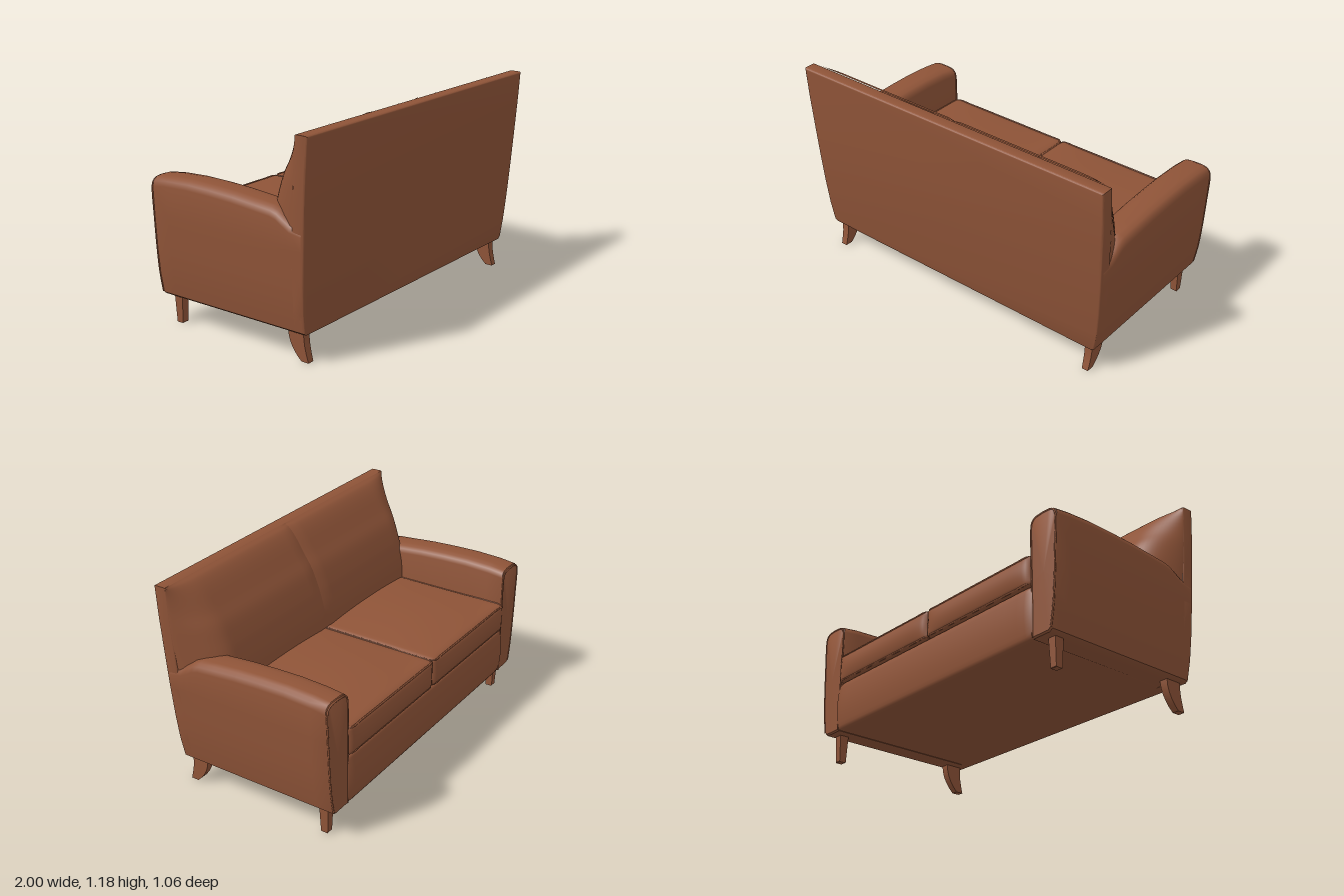
import * as THREE from 'three';
import { mergeVertices, toCreasedNormals } from 'three/addons/utils/BufferGeometryUtils.js';

const BASE = 0.155, TOP = 1.18, LEAN = 0.065;
const leather = new THREE.MeshStandardMaterial({ color: 0x8f5438 });
leather.name = 'brown leather';

// Outer side of the sofa as [x, y], shared by the arms and the back panel
const SIDE = [[0.925, BASE], [0.942, 0.168], [0.962, 0.28], [0.975, 0.42], [0.985, 0.6]];
const SIDE_TOP = [[0.992, 0.8], [0.998, 1.0], [0.998, TOP]];

function part(name, geometry) {
  const mesh = new THREE.Mesh(geometry, leather);
  mesh.name = name;
  return mesh;
}

function surface(positions, index) {
  const g = new THREE.BufferGeometry();
  g.setAttribute('position', new THREE.Float32BufferAttribute(positions, 3));
  g.setIndex(index);
  return g;
}

// Moves every vertex by a rule that edits the vector in place
function warp(geometry, rule) {
  const p = geometry.attributes.position, v = new THREE.Vector3();
  for (let i = 0; i < p.count; i++) {
    rule(v.fromBufferAttribute(p, i));
    p.setXYZ(i, v.x, v.y, v.z);
  }
  return geometry;
}

// Mirror across x = 0, with the winding turned round again
function mirrored(geometry) {
  const g = geometry.index ? geometry.toNonIndexed() : geometry.clone();
  g.scale(-1, 1, 1);
  for (const a of Object.values(g.attributes)) {
    const n = a.itemSize;
    for (let i = 0; i < a.count; i += 3) {
      for (let k = 0; k < n; k++) {
        const t = a.array[(i + 1) * n + k];
        a.array[(i + 1) * n + k] = a.array[(i + 2) * n + k];
        a.array[(i + 2) * n + k] = t;
      }
    }
  }
  return g;
}

// Rounded box with enough vertices to be bulged by a rule (u, v, t run -1..1)
function softBox(w, h, d, r, bulge) {
  let g = new THREE.BoxGeometry(w, h, d, 32, 14, 32);
  g.deleteAttribute('normal');
  g.deleteAttribute('uv');
  g = mergeVertices(g);
  const inner = new THREE.Vector3(w / 2 - r, h / 2 - r, d / 2 - r), core = new THREE.Vector3();
  warp(g, (p) => {
    const u = 2 * p.x / w, v = 2 * p.y / h, t = 2 * p.z / d;
    core.copy(p).clamp(inner.clone().negate(), inner);
    p.sub(core);
    if (p.length() > 0) p.setLength(r);
    p.add(core);
    bulge(p, u, v, t);
  });
  g.computeVertexNormals();
  return g;
}

function piping(points) {
  const path = new THREE.CatmullRomCurve3(points, false, 'centripetal');
  return new THREE.TubeGeometry(path, 120, 0.005, 6, false);
}

// Cross-section of the left arm at a given top height, shrunk by an inset
function armRing(height, inset) {
  const ring = [[0.81, BASE], ...SIDE, [0.991, height - 0.05], [0.984, height - 0.022], [0.968, height - 0.007],
    [0.94, height], [0.87, height], [0.835, height - 0.006], [0.818, height - 0.02], [0.81, height - 0.045], [0.81, 0.45]];
  const k = 1 - inset / 0.1, ky = 1 - inset / 0.34;
  return ring.map(([x, y]) => [0.9 + (x - 0.9) * k, 0.48 + (y - 0.48) * ky]);
}

function armGeometry() {
  const stations = [[-0.503, 0.812, 0.008], [-0.494, 0.815, 0], [-0.4, 0.826, 0], [-0.25, 0.832, 0], [-0.1, 0.829, 0],
    [0.05, 0.822, 0], [0.2, 0.809, 0], [0.29, 0.801, 0], [0.33, 0.79, 0], [0.37, 0.765, 0], [0.41, 0.742, 0], [0.45, 0.73, 0]];
  const pos = [], index = [];
  stations.forEach(([z, h, inset], k) => {
    const last = k === stations.length - 1;
    for (const [x, y] of armRing(h, inset)) pos.push(x, y, z + (last ? LEAN * (y - BASE) : 0));
  });
  const n = armRing(0.8, 0).length;
  for (let k = 0; k < stations.length - 1; k++) {
    for (let i = 0; i < n; i++) {
      const a = k * n + i, b = k * n + (i + 1) % n;
      index.push(a, b, a + n, b, b + n, a + n);
    }
  }
  // slightly padded end panel
  const centre = pos.length / 3;
  pos.push(0.9, 0.48, -0.506);
  for (let i = 0; i < n; i++) index.push(centre, (i + 1) % n, i);
  return toCreasedNormals(surface(pos, index), 0.7);
}

// Leaning back panel, extruded from the body outline
function backPanelGeometry() {
  const right = [...SIDE, ...SIDE_TOP];
  const left = right.map(([x, y]) => [-x, y]).reverse();
  const shape = new THREE.Shape([...right, ...left].map(([x, y]) => new THREE.Vector2(x, y)));
  const b = 0.012;
  const g = new THREE.ExtrudeGeometry(shape, {
    depth: 0.078 - 2 * b, bevelThickness: b, bevelSize: b, bevelOffset: -b, bevelSegments: 4,
  });
  g.translate(0, 0, 0.389 + b);
  warp(g, (p) => { p.z += LEAN * (p.y - BASE); });
  return toCreasedNormals(g, 0.6);
}

// Left back cushion: a padded sheet that wraps round to the back panel
function backCushionGeometry() {
  const profile = new THREE.CatmullRomCurve3([[0.5, 0.18], [0.7, 0.186], [0.8, 0.21], [0.87, 0.235], [0.95, 0.27],
    [1.02, 0.316], [1.12, 0.382], [1.165, 0.425], [1.18, 0.458]].map(([y, z]) => new THREE.Vector3(0, y, z)));
  const rows = 32, cols = 36, pos = [], index = [];
  for (let j = 0; j <= rows; j++) {
    const { y, z: front } = profile.getPoint(j / rows);
    const back = 0.394 + LEAN * (y - BASE);
    const edge = 0.98 + 0.016 * THREE.MathUtils.smoothstep(y, 0.6, 1);
    for (let i = 0; i <= cols; i++) {
      const x = edge * Math.sin(i / cols * Math.PI / 2);
      const t = Math.max(0, (x - 0.79) / (edge - 0.79));
      const wrap = Math.pow(Math.max(0, 1 - t * t), 0.82);
      const seam = 0.012 * Math.pow(Math.max(0, 1 - x / 0.025), 2);
      const z = back + (front - back) * wrap;
      pos.push(x, y, Math.min(z + seam, Math.max(back, z)));
      if (i < cols && j < rows) {
        const a = j * (cols + 1) + i, c = a + cols + 1;
        index.push(a, c, a + 1, a + 1, c, c + 1);
      }
    }
  }
  const g = surface(pos, index);
  g.computeVertexNormals();
  return g;
}

// Leg from a side profile of [z, y], narrowing towards the floor
function legGeometry(profile) {
  const shape = new THREE.Shape(profile.map(([z, y]) => new THREE.Vector2(-z, y)));
  const g = new THREE.ExtrudeGeometry(shape, { depth: 0.048, bevelEnabled: false });
  g.translate(0, 0, -0.024);
  g.rotateY(Math.PI / 2);
  warp(g, (p) => { p.x = 0.888 + p.x * (0.8 + 0.2 * p.y / BASE); });
  return toCreasedNormals(g, 0.6);
}

export function createModel() {
  const sofa = new THREE.Group();
  sofa.name = 'sofa';
  const pair = (name, g) => sofa.add(part(name + 'Left', g), part(name + 'Right', mirrored(g)));

  // base with a softly padded front rail
  const base = softBox(1.64, 0.285, 0.95, 0.012, (p, u, v, t) => {
    if (t < -0.9) p.z -= 0.015 * Math.max(0, 1 - v * v);
  });
  base.translate(0, BASE + 0.1425, -0.027);
  sofa.add(part('base', base));
  sofa.add(part('backPanel', backPanelGeometry()));

  // arms with piping round the end panel, open along the floor edge
  pair('arm', armGeometry());
  const [inner, , ...rim] = armRing(0.812, 0.005);
  pair('armPiping', piping([...rim, inner].map(([x, y]) => new THREE.Vector3(x, y, -0.502))));

  // seat cushions, crowned on top and at the front
  const seat = softBox(0.81, 0.165, 0.73, 0.016, (p, u, v, t) => {
    if (v > 0) p.y += 0.026 * v * (1 - u * u) * (1 - (t < 0 ? 1 : 0.4) * t * t);
    if (t < 0) p.z += 0.02 * t * t * (0.3 - Math.max(0, 1 - v * v)) * (1 - Math.pow(u, 8));
  });
  seat.translate(0.406, 0.525, -0.15);
  pair('seatCushion', seat);
  for (const [name, y] of [['seatTopPiping', 0.601], ['seatBottomPiping', 0.452]]) {
    const line = [[0.005, 0.19], [0.005, -0.2], [0.005, -0.49], [0.018, -0.509], [0.1, -0.511], [0.4, -0.512],
      [0.7, -0.511], [0.793, -0.509], [0.806, -0.49], [0.806, -0.2], [0.806, 0.19]];
    pair(name, piping(line.map(([x, z]) => new THREE.Vector3(x, y, z))));
  }

  pair('backCushion', backCushionGeometry());

  // straight front legs and swept back legs
  pair('frontLeg', legGeometry([[-0.448, 0.16], [-0.441, 0.003], [-0.438, 0], [-0.403, 0], [-0.4, 0.003], [-0.394, 0.16]]));
  pair('backLeg', legGeometry([[0.334, 0.16], [0.338, 0.12], [0.349, 0.085], [0.365, 0.055], [0.386, 0.027],
    [0.413, 0], [0.458, 0], [0.447, 0.04], [0.438, 0.08], [0.433, 0.12], [0.432, 0.16]]));
  return sofa;
}
